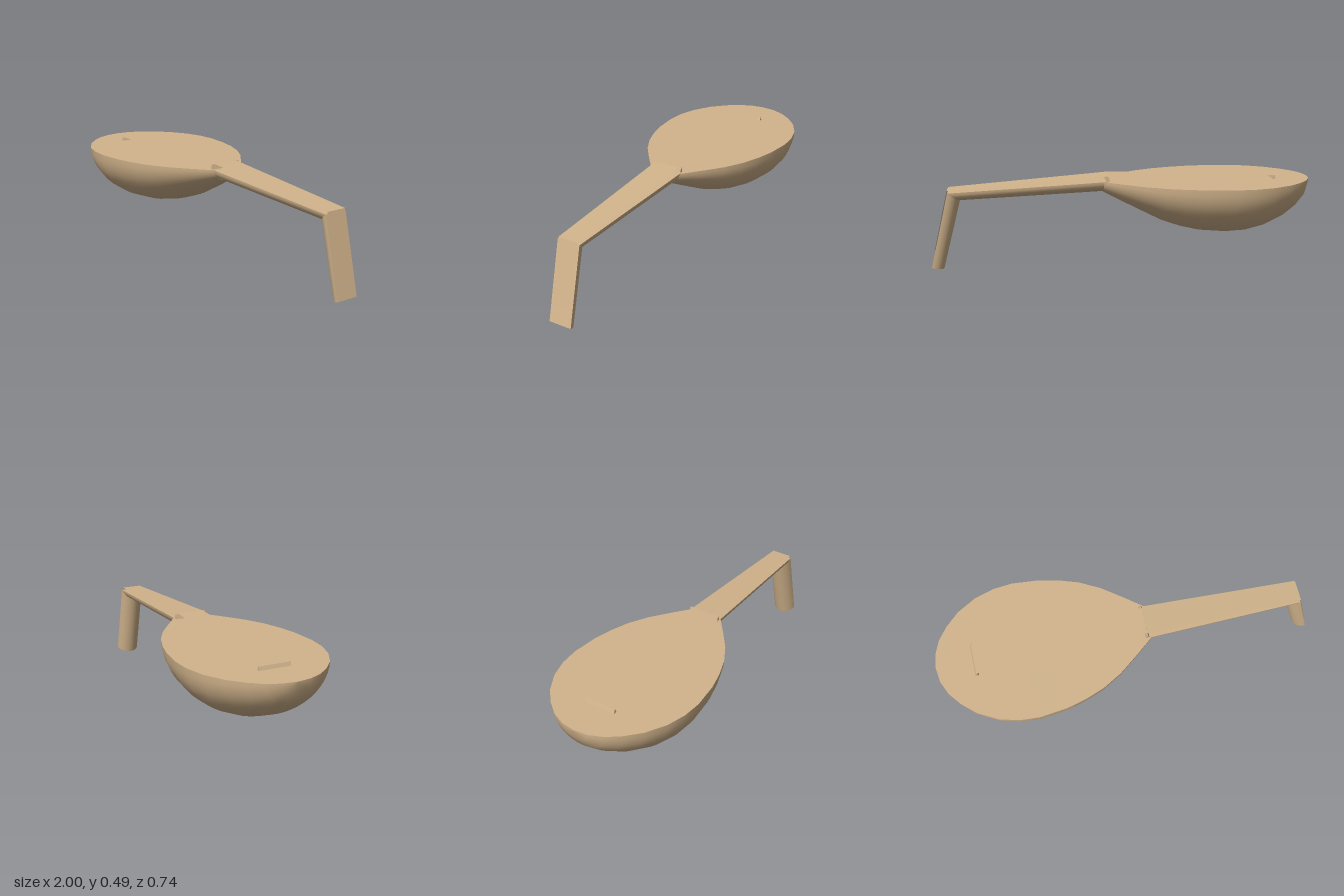
import * as THREE from 'three';

const wood = new THREE.MeshStandardMaterial({ color: 0xd2b48c });
wood.name = 'tan wood';
const stringWood = new THREE.MeshStandardMaterial({ color: 0xd2b48c, side: THREE.DoubleSide });
stringWood.name = 'tan strings';

function makeMesh(name, positions, index, material = wood) {
  const g = new THREE.BufferGeometry();
  g.setAttribute('position', new THREE.Float32BufferAttribute(positions, 3));
  g.setIndex(index);
  g.computeVertexNormals();
  const mesh = new THREE.Mesh(g, material);
  mesh.name = name;
  return mesh;
}

// Half-round loft with a flat face. Section: [x, y, depthX, depthY, halfWidth]
function halfRoundLoft(name, sections, sides = 24) {
  const group = new THREE.Group();
  group.name = name;
  const ring = ([x, y, dx, dy, w]) => {
    const pts = [];
    for (let j = 0; j <= sides; j++) {
      const a = (Math.PI * j) / sides;
      pts.push(x + dx * Math.sin(a), y + dy * Math.sin(a), w * Math.cos(a));
    }
    return pts;
  };
  const rings = sections.map(ring);
  const row = sides + 1;
  const shell = [], flat = [], flatPos = [];
  sections.forEach(([x, y, , , w], i) => {
    flatPos.push(x, y, w, x, y, -w);
    if (i === sections.length - 1) return;
    for (let j = 0; j < sides; j++) {
      const a = i * row + j, b = a + row;
      shell.push(a, a + 1, b, b, a + 1, b + 1);
    }
    const k = i * 2;
    flat.push(k, k + 2, k + 1, k + 2, k + 3, k + 1);
  });
  // End caps
  const capStart = [], capEnd = [];
  for (let j = 1; j < sides; j++) {
    capStart.push(0, j + 1, j);
    capEnd.push(0, j, j + 1);
  }
  group.add(
    makeMesh(name + 'Back', rings.flat(), shell),
    makeMesh(name + 'Face', flatPos, flat),
    makeMesh(name + 'StartCap', rings[0], capStart),
    makeMesh(name + 'EndCap', rings[rings.length - 1], capEnd)
  );
  return group;
}

// Triangular ridge lying across the instrument
function ridge(name, x, y, width, height, length) {
  const s = new THREE.Shape();
  s.moveTo(-width / 2, 0);
  s.lineTo(width / 2, 0);
  s.lineTo(width * 0.1, height);
  s.lineTo(-width * 0.1, height);
  s.closePath();
  const g = new THREE.ExtrudeGeometry(s, { depth: length, bevelEnabled: false });
  g.translate(x, y, -length / 2);
  const mesh = new THREE.Mesh(g, wood);
  mesh.name = name;
  return mesh;
}

export function createModel() {
  const model = new THREE.Group();
  model.name = 'lute';

  // Pear-shaped bowl: [x, halfWidth, depth]
  const bowl = [
    [-1, 0, 0], [-0.99, 0.075, 0.055], [-0.96, 0.145, 0.115], [-0.91, 0.21, 0.165],
    [-0.84, 0.275, 0.212], [-0.74, 0.332, 0.256], [-0.64, 0.361, 0.28], [-0.54, 0.369, 0.285],
    [-0.4, 0.355, 0.273], [-0.3, 0.331, 0.25], [-0.2, 0.295, 0.215], [-0.1, 0.24, 0.165],
    [0, 0.165, 0.115], [0.1, 0.085, 0.064],
  ];
  model.add(halfRoundLoft('body', bowl.map(([x, w, d]) => [x, 0.46, 0, -d, w])));

  // Tapering neck and bent-back peg box share a mitred joint
  const joint = [0.905, 0.412, -0.06, -0.047, 0.062];
  model.add(halfRoundLoft('neck', [[0.08, 0.461, 0.02, -0.062, 0.088], joint], 16));
  model.add(halfRoundLoft('pegBox', [joint, [1, 0.018, -0.06, -0.018, 0.062]], 16));

  // Bridge and nut
  model.add(ridge('bridge', -0.803, 0.459, 0.018, 0.02, 0.168));
  model.add(ridge('nut', 0.077, 0.459, 0.02, 0.028, 0.17));

  // Flat band of strings running over the nut and down the peg box: [x, y, halfWidth]
  const path = [[-0.803, 0.479, 0.08], [0.077, 0.487, 0.07], [0.908, 0.424, 0.055]];
  for (let i = 0; i < path.length - 1; i++) {
    const [x0, y0, w0] = path[i], [x1, y1, w1] = path[i + 1];
    model.add(makeMesh('strings' + (i + 1),
      [x0, y0, w0, x1, y1, w1, x0, y0, -w0, x1, y1, -w1], [0, 1, 2, 1, 3, 2], stringWood));
  }
  // Tail of the strings sinking into the peg box
  model.add(makeMesh('stringTail',
    [0.908, 0.424, 0.055, 0.984, 0.1, 0.05, 0.908, 0.424, -0.055, 0.984, 0.1, -0.05],
    [0, 1, 2, 1, 3, 2], stringWood));

  return model;
}
